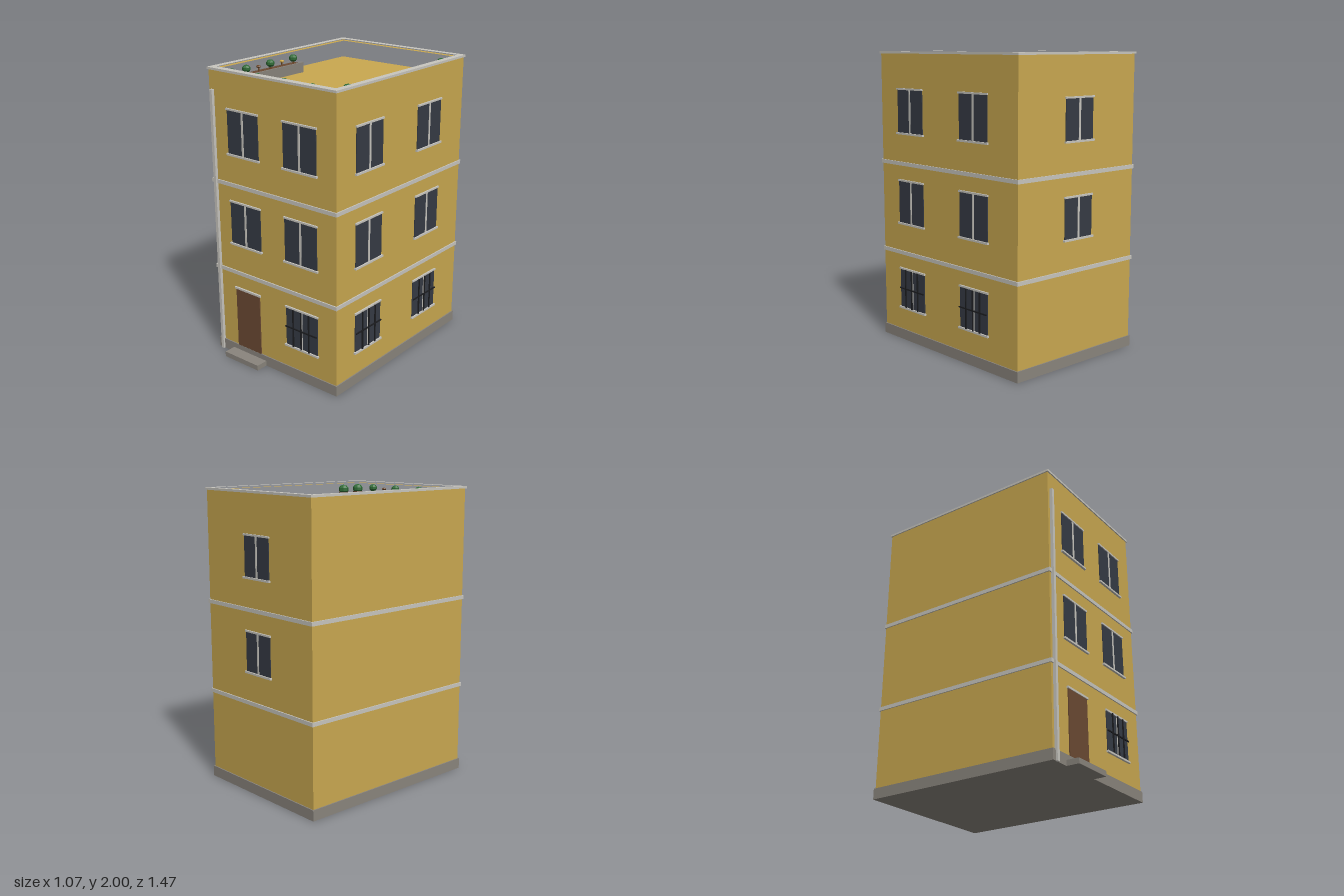
import * as THREE from 'three';

const mat = (name, color, extra = {}) =>
  Object.assign(new THREE.MeshStandardMaterial({ color, ...extra }), { name });

export function createModel() {
  const model = new THREE.Group();
  model.name = 'apartmentBuilding';

  const wall = mat('ochre wall', 0xc9a850);
  const trim = mat('pale trim', 0xc8c6bf);
  const stone = mat('grey stone', 0x8a857d);
  const glass = mat('dark glass', 0x363b45);
  const wood = mat('brown wood and soil', 0x6b4a33);
  const iron = mat('black iron', 0x1c1d20);
  const leaf = mat('green leaf', 0x2f6b35, { flatShading: true });
  const bloom = mat('yellow bloom', 0xd2ab45, { flatShading: true });
  const bud = mat('brown bud', 0x6a4526, { flatShading: true });

  const add = (parent, name, geo, material, x = 0, y = 0, z = 0) => {
    const m = new THREE.Mesh(geo, material);
    m.name = name;
    m.position.set(x, y, z);
    parent.add(m);
    return m;
  };
  // box given by its min and max on each axis
  const box = (parent, name, material, x0, x1, y0, y1, z0, z1) =>
    add(parent, name, new THREE.BoxGeometry(x1 - x0, y1 - y0, z1 - z0), material,
      (x0 + x1) / 2, (y0 + y1) / 2, (z0 + z1) / 2);
  // upright rectangular frame; outer and inner are [x0, x1, z0, z1]
  const ring = (parent, name, material, outer, inner, y0, y1) => {
    const corners = ([x0, x1, z0, z1]) =>
      [[x0, -z0], [x1, -z0], [x1, -z1], [x0, -z1]].map(p => new THREE.Vector2(...p));
    const shape = new THREE.Shape(corners(outer));
    shape.holes.push(new THREE.Path(corners(inner)));
    const geo = new THREE.ExtrudeGeometry(shape, { depth: y1 - y0, bevelEnabled: false });
    geo.rotateX(-Math.PI / 2);
    return add(parent, name, geo, material, 0, y0, 0);
  };

  // main block, plinth, floor bands and parapet
  const body = [-0.529, 0.52, -0.722, 0.641];
  const rim = [-0.537, 0.528, -0.73, 0.649];
  const well = [-0.494, 0.485, -0.687, 0.6];
  const slab = (name, m, [x0, x1, z0, z1], y0, y1) => box(model, name, m, x0, x1, y0, y1, z0, z1);
  slab('plinth', stone, rim, 0, 0.072);
  slab('walls', wall, body, 0.06, 1.86);
  slab('lowerBand', trim, rim, 0.61, 0.636);
  slab('upperBand', trim, rim, 1.231, 1.257);
  ring(model, 'parapet', wall, body, well, 1.86, 1.986);
  ring(model, 'parapetCap', trim, rim, well, 1.985, 2);

  // entrance and drainpipe
  box(model, 'doorStep', stone, -0.396, -0.089, 0, 0.036, 0.64, 0.734);
  box(model, 'door', wood, -0.351, -0.136, 0.072, 0.503, 0.64, 0.648);
  box(model, 'doorLintel', trim, -0.361, -0.126, 0.501, 0.515, 0.64, 0.653);
  box(model, 'drainpipe', trim, -0.509, -0.487, 0, 1.86, 0.64, 0.662);

  // window facing +z with its sill at the origin
  const addWindow = (x, y, z, turn, w, h, barred) => {
    const g = new THREE.Group();
    g.name = barred ? 'barredWindow' : 'window';
    const s = w / 2;
    box(g, 'pane', glass, -s, s, 0, h, -0.002, 0.005);
    box(g, 'mullion', trim, -0.008, 0.008, 0, h, -0.002, 0.008);
    box(g, 'sill', trim, -s - 0.01, s + 0.01, -0.013, 0, -0.002, 0.015);
    box(g, 'lintel', trim, -s - 0.006, s + 0.006, h - 0.001, h + 0.011, -0.002, 0.011);
    if (barred) {
      for (const bx of [-s / 2, 0, s / 2])
        box(g, 'upright', iron, bx - 0.004, bx + 0.004, 0, h, 0.009, 0.017);
      box(g, 'crossbar', iron, -s, s, h / 2 - 0.004, h / 2 + 0.004, 0.009, 0.017);
    }
    g.position.set(x, y, z);
    g.rotation.y = turn;
    model.add(g);
  };
  [0.237, 0.836, 1.457].forEach((y, floor) => {
    const barred = floor === 0;
    const h = barred ? 0.268 : 0.288;
    for (const x of [-0.241, 0.235])
      if (!(barred && x < 0)) addWindow(x, y, body[3], 0, 0.266, h, barred);
    for (const z of [-0.321, 0.321]) addWindow(body[1], y, z, Math.PI / 2, 0.266, h, barred);
    if (!barred) addWindow(-0.005, y, body[2], Math.PI, 0.246, 0.262, false);
  });

  // roof garden
  const roof = 1.86;
  const bush = (parent, x, y, z, r) => {
    const b = add(parent, 'bush', new THREE.SphereGeometry(r, 8, 5), leaf, x, y, z);
    b.scale.y = 0.9;
  };
  const flower = (parent, x, y, z, material) => {
    add(parent, 'stem', new THREE.CylinderGeometry(0.005, 0.005, 0.03, 6), bud, x, y + 0.015, z);
    add(parent, 'flowerHead', new THREE.SphereGeometry(0.016, 8, 4), material, x, y + 0.034, z)
      .scale.y = 0.6;
  };
  const planter = (x0, x1, z0, z1, plants) => {
    const g = new THREE.Group();
    g.name = 'planter';
    const t = 0.011;
    ring(g, 'planterBox', stone, [x0, x1, z0, z1], [x0 + t, x1 - t, z0 + t, z1 - t], roof, roof + 0.07);
    box(g, 'soil', wood, x0 + t, x1 - t, roof, roof + 0.062, z0 + t, z1 - t);
    plants.forEach(([x, z], i) => {
      if (i % 2 === 0) {
        add(g, 'stem', new THREE.CylinderGeometry(0.006, 0.006, 0.03, 6), bud, x, roof + 0.075, z);
        bush(g, x, roof + 0.1, z, 0.029);
      } else flower(g, x, roof + 0.062, z, (x > -0.4 ? i === 3 : i === 1) ? bloom : bud);
    });
    model.add(g);
  };
  planter(-0.48, 0.302, 0.492, 0.585,
    Array.from({ length: 7 }, (_, i) => [-0.425 + i * 0.1125, 0.54]));
  planter(-0.48, -0.386, -0.113, 0.457,
    Array.from({ length: 5 }, (_, i) => [-0.433, -0.058 + i * 0.114]));

  // potted shrubs
  for (const z of [-0.614, 0.398, 0.54]) {
    const g = new THREE.Group();
    g.name = 'pottedShrub';
    add(g, 'pot', new THREE.CylinderGeometry(0.036, 0.028, 0.07, 10), wood, 0, 0.035, 0);
    bush(g, 0, 0.088, 0, 0.037);
    g.position.set(0.412, roof, z);
    model.add(g);
  }
  return model;
}
